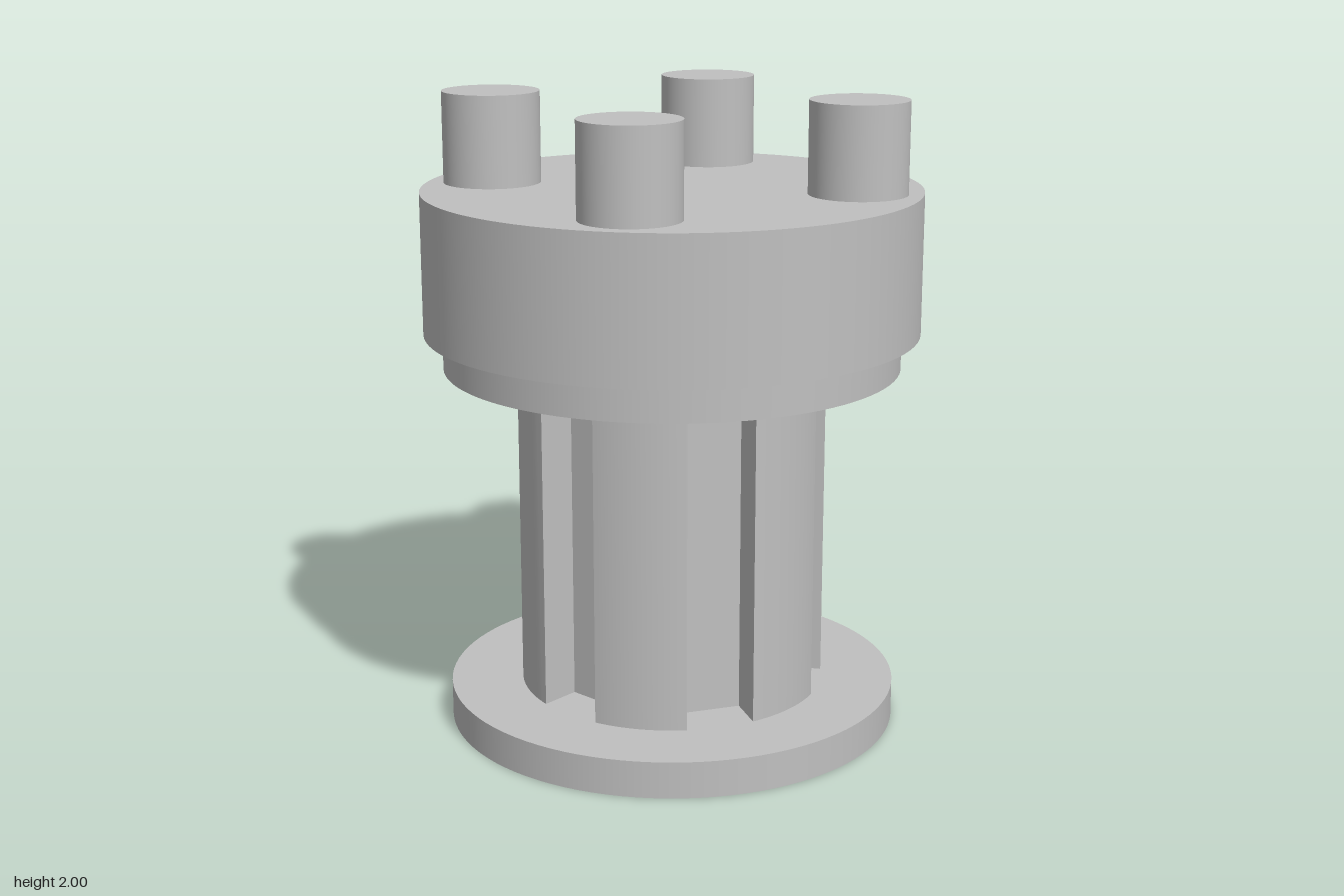
import * as THREE from 'three';
import { toCreasedNormals } from 'three/addons/utils/BufferGeometryUtils.js';

const metal = new THREE.MeshStandardMaterial({ color: 0xc0c0c0 });
metal.name = 'grey metal';

// Upright cylinder between two heights
function disc(name, radius, y0, y1, x = 0, z = 0) {
  const mesh = new THREE.Mesh(new THREE.CylinderGeometry(radius, radius, y1 - y0, 96), metal);
  mesh.position.set(x, (y0 + y1) / 2, z);
  mesh.name = name;
  return mesh;
}

// Shaft with six flat-bottomed, parallel-sided grooves
function slottedShaft(y0, y1) {
  const radius = 0.488, floor = 0.347, halfWidth = 0.108;
  const halfTooth = Math.PI / 6 - Math.asin(halfWidth / radius);
  const shape = new THREE.Shape();
  for (let i = 0; i < 6; i++) {
    const tooth = Math.PI / 2 + i * Math.PI / 3;
    const slot = tooth + Math.PI / 6;
    const c = Math.cos(slot), s = Math.sin(slot);
    shape.absarc(0, 0, radius, tooth - halfTooth, tooth + halfTooth, false);
    for (const w of [-halfWidth, halfWidth]) shape.lineTo(floor * c - w * s, floor * s + w * c);
  }
  shape.closePath();
  const geometry = new THREE.ExtrudeGeometry(shape, { depth: y1 - y0, bevelEnabled: false, curveSegments: 12 });
  geometry.rotateX(-Math.PI / 2);
  const mesh = new THREE.Mesh(toCreasedNormals(geometry, 0.3), metal);
  mesh.position.y = y0;
  mesh.name = 'slottedShaft';
  return mesh;
}

export function createModel() {
  const model = new THREE.Group();
  model.name = 'slottedHub';
  model.add(
    disc('baseFlange', 0.718, 0, 0.116),
    slottedShaft(0.116, 1.157),
    disc('upperFlange', 0.718, 1.157, 1.27),
    disc('head', 0.777, 1.27, 1.714),
  );
  // Four drive pins on the head
  for (let i = 0; i < 4; i++) {
    const a = i * Math.PI / 2;
    model.add(disc('pin' + (i + 1), 0.153, 1.714, 2, 0.577 * Math.sin(a), 0.577 * Math.cos(a)));
  }
  return model;
}
